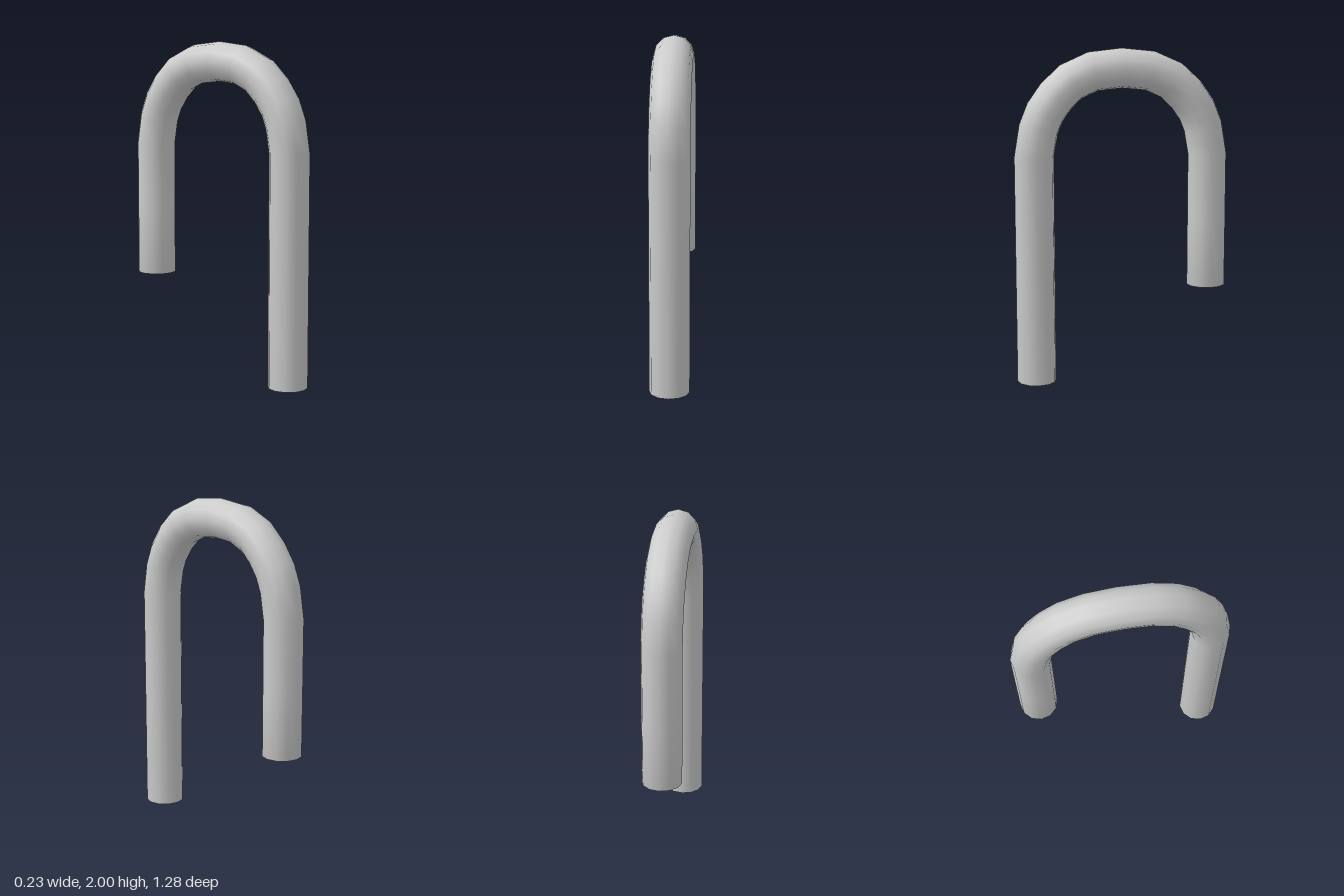
import * as THREE from 'three';

const RADIUS = 0.1175;
const SIDES = 12;

// Loft a round, capped rod along centre points [z, y] lying in the x = 0 plane
function rod(path) {
  const positions = [];
  const index = [];
  const last = path.length - 1;

  path.forEach(([z, y], i) => {
    const a = path[Math.max(i - 1, 0)];
    const b = path[Math.min(i + 1, last)];
    const tangent = new THREE.Vector2(b[0] - a[0], b[1] - a[1]).normalize();
    for (let j = 0; j < SIDES; j++) {
      const angle = (j / SIDES) * Math.PI * 2;
      const out = RADIUS * Math.cos(angle);
      positions.push(RADIUS * Math.sin(angle), y - tangent.x * out, z + tangent.y * out);
    }
  });

  // Wall between neighbouring rings
  for (let i = 0; i < last; i++) {
    for (let j = 0; j < SIDES; j++) {
      const k = (j + 1) % SIDES;
      const p = i * SIDES;
      const q = p + SIDES;
      index.push(p + j, p + k, q + j, p + k, q + k, q + j);
    }
  }

  // Flat ends, sharing the rim so the shading flows into them
  const start = positions.length / 3;
  positions.push(0, path[0][1], path[0][0], 0, path[last][1], path[last][0]);
  for (let j = 0; j < SIDES; j++) {
    const k = (j + 1) % SIDES;
    index.push(start, k, j, start + 1, last * SIDES + j, last * SIDES + k);
  }

  const geometry = new THREE.BufferGeometry();
  geometry.setAttribute('position', new THREE.Float32BufferAttribute(positions, 3));
  geometry.setIndex(index);
  geometry.computeVertexNormals();
  return geometry;
}

export function createModel() {
  // Half of the arch, from the leg up to just before the crown
  const half = [[0.522, 1.37], [0.494, 1.533], [0.455, 1.63], [0.39, 1.722], [0.3, 1.807], [0.17, 1.865]];
  const mirrored = half.map(([z, y]) => [-z, y]).reverse();

  const path = [
    [0.5225, 0], // long front leg
    ...half,
    [0, 1.8825], // crown
    ...mirrored,
    [-0.5225, 0.97], // short back leg
    [-0.5225, 0.56],
  ];

  const hook = new THREE.Mesh(rod(path), new THREE.MeshStandardMaterial({ color: 0xcccccc }));
  hook.name = 'hookedRod';

  const group = new THREE.Group();
  group.name = 'hook';
  group.add(hook);
  return group;
}
